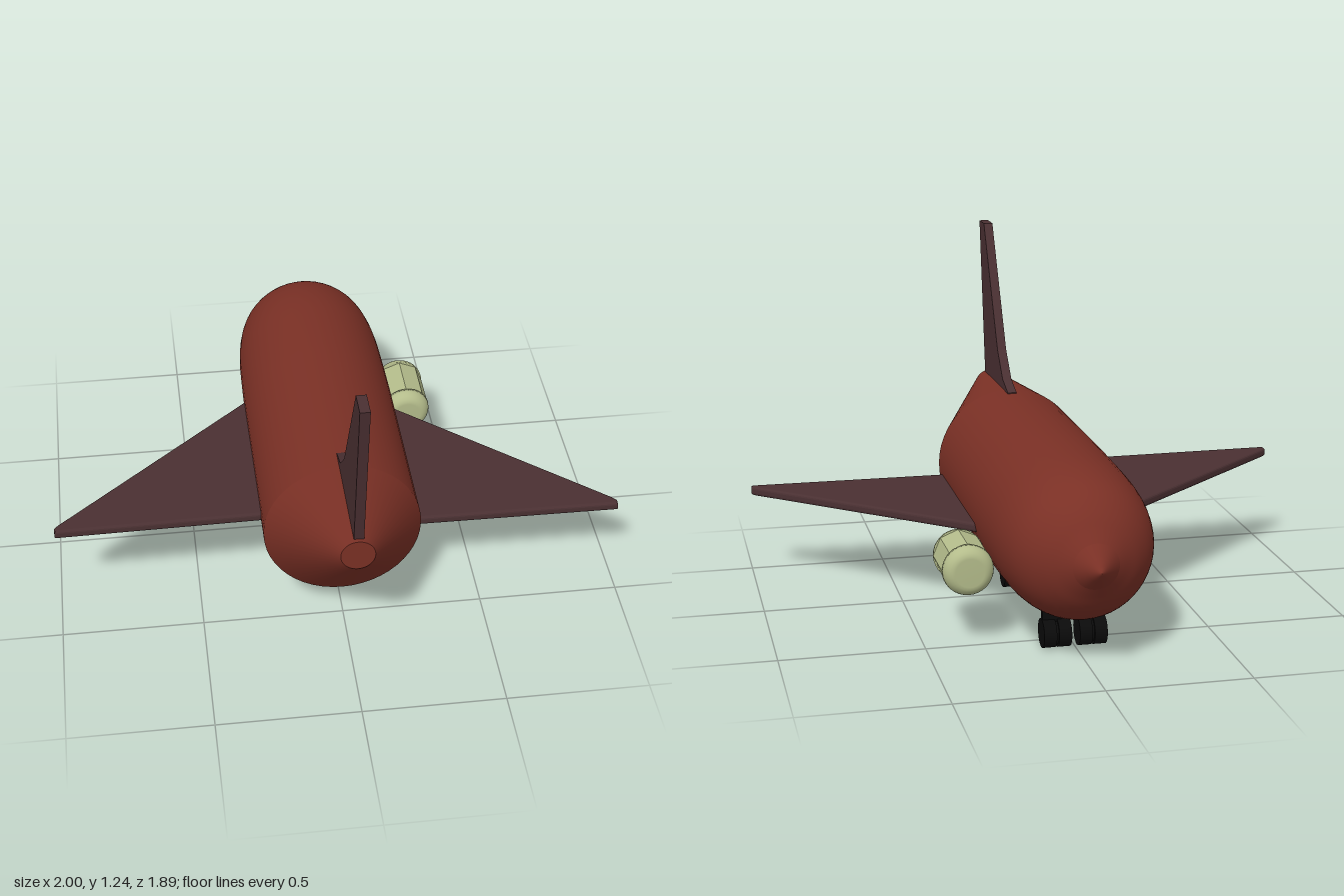
import * as THREE from 'three';

const mat = (name, color, side = THREE.FrontSide) => {
  const m = new THREE.MeshStandardMaterial({ color, side });
  m.name = name;
  return m;
};

export function createModel() {
  const group = new THREE.Group();
  const red = mat('rust red', 0x7a3025);
  const brown = mat('dark brown', 0x4a3032);
  const green = mat('pale green', 0xb4bc8b);
  const black = mat('tyre black', 0x0b0b0b);

  const add = (name, geometry, material, x = 0, y = 0, z = 0) => {
    const mesh = new THREE.Mesh(geometry, material);
    mesh.name = name;
    mesh.position.set(x, y, z);
    group.add(mesh);
    return mesh;
  };
  // Turned shape along z; points are [radius, z] from high z to low z
  const turned = (pts, segments = 48) =>
    new THREE.LatheGeometry(pts.map(([r, z]) => new THREE.Vector2(r, -z)), segments).rotateX(-Math.PI / 2);

  const bodyY = 0.378, bodyR = 0.277;

  // Fuselage: straight barrel running into a rounded front
  const curve = new THREE.SplineCurve([
    [bodyR, -0.2], [0.274, -0.4], [0.267, -0.56], [0.247, -0.68],
    [0.214, -0.755], [0.165, -0.81], [0.115, -0.845], [0.078, -0.87],
  ].map(([r, z]) => new THREE.Vector2(r, z)));
  const front = curve.getPoints(28).map((p) => [p.x, p.y]);
  add('fuselage', turned([[bodyR, 0.48], ...front]), red, 0, bodyY);
  add('noseCone', turned([[0.078, -0.87], [0.04, -0.908], [0.012, -0.936], [0, -0.942]]), red, 0, bodyY);

  // Tail: tapers and rises so that its top stays level
  const tail = new THREE.CylinderGeometry(0.058, bodyR, 0.385, 48, 1).rotateX(Math.PI / 2);
  const tp = tail.attributes.position;
  for (let i = 0; i < tp.count; i++) {
    if (tp.getZ(i) > 0) tp.setY(i, tp.getY(i) + 0.212);
  }
  tail.computeVertexNormals();
  add('tailCone', tail, red, 0, bodyY, 0.6725);

  // Flat plate with softened edges, centred on its thickness
  const plate = (pts, thickness, bevel) => {
    const shape = new THREE.Shape(pts.map(([x, y]) => new THREE.Vector2(x, y)));
    const depth = thickness - 2 * bevel;
    return new THREE.ExtrudeGeometry(shape, {
      depth, bevelEnabled: bevel > 0, bevelThickness: bevel, bevelSize: bevel,
      bevelOffset: -bevel, bevelSegments: 3,
    }).translate(0, 0, -depth / 2);
  };

  // Wings: swept triangles, the two sides slightly offset
  const wing = (side, y, dz) => {
    const outline = [[0.14, -0.35], [0.28, -0.225], [0.985, 0.395], [1, 0.412], [0.998, 0.436], [0.14, 0.427]];
    const pts = outline.map(([x, z]) => [side * x, -(z + dz)]);
    return [plate(pts, 0.033, 0.01).rotateX(-Math.PI / 2), y];
  };
  for (const [name, side, y, dz] of [['leftWing', 1, 0.333, 0], ['rightWing', -1, 0.376, -0.04]]) {
    const [geometry, height] = wing(side, y, dz);
    add(name, geometry, brown, 0, height);
  }

  // Tail fin, drawn in z and y
  const fin = plate([
    [-0.945, 1.24], [-0.855, 1.24], [-0.6, 0.785], [-0.505, 0.69],
    [-0.41, 0.658], [-0.41, 0.62], [-0.845, 0.62],
  ], 0.034, 0).rotateY(Math.PI / 2);
  add('tailFin', fin, brown, 0.004);

  // Single engine pod: eight-sided barrel with rounded caps
  const barrel = new THREE.CylinderGeometry(0.089, 0.089, 0.18, 8, 1, true).rotateX(Math.PI / 2).toNonIndexed();
  barrel.computeVertexNormals();
  const cap = [[0, 0.133], [0.05, 0.133]];
  for (let i = 1; i <= 6; i++) {
    const a = (i / 6) * Math.PI / 2;
    cap.push([0.05 + 0.039 * Math.sin(a), 0.085 + 0.048 * Math.cos(a)]);
  }
  cap.push([0, 0.085]);
  const engine = new THREE.Group();
  engine.name = 'enginePod';
  engine.position.set(0.35, 0.27, -0.4);
  engine.add(new THREE.Mesh(barrel, green));
  for (const turn of [0, Math.PI]) {
    const end = new THREE.Mesh(turned(cap, 32), green);
    end.name = 'engineCap';
    end.rotation.y = turn;
    engine.add(end);
  }
  engine.children[0].name = 'engineBarrel';
  group.add(engine);

  // Landing gear: a pair of grooved rollers on thin legs, fore and aft
  for (const [place, z] of [['rear', 0.08], ['front', -0.57]]) {
    for (const x of [-0.058, 0.066]) {
      for (const dx of [-0.026, 0.026]) {
        add(place + 'Wheel', new THREE.CylinderGeometry(0.051, 0.051, 0.044, 24).rotateZ(Math.PI / 2), black, x + dx, 0.053, z);
      }
      add(place + 'Hub', new THREE.CylinderGeometry(0.043, 0.043, 0.09, 20).rotateZ(Math.PI / 2), black, x, 0.053, z);
      add(place + 'Leg', new THREE.BoxGeometry(0.094, 0.09, 0.022), black, x, 0.097, z);
    }
  }
  return group;
}
